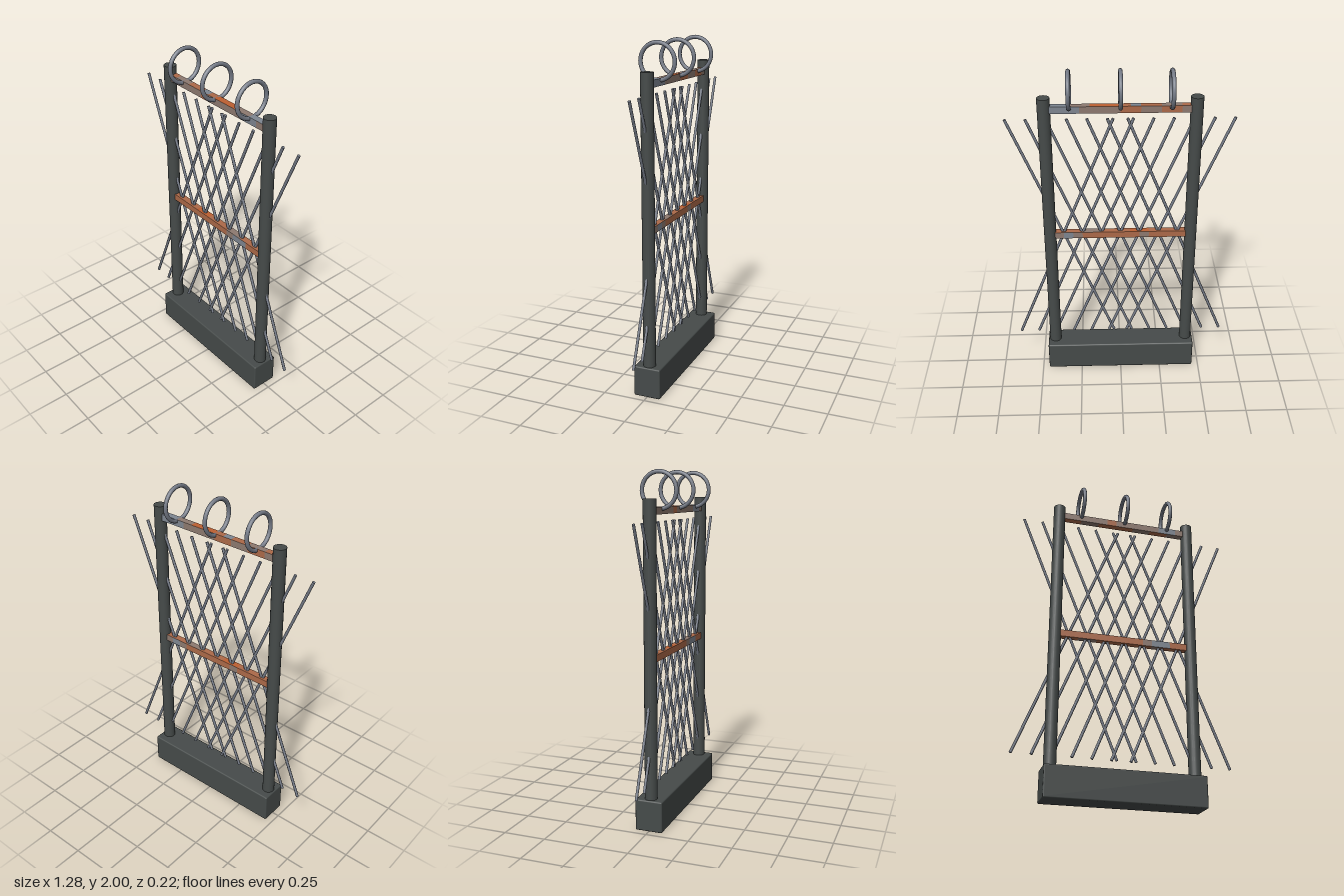
import * as THREE from 'three';
import { RoundedBoxGeometry } from 'three/addons/geometries/RoundedBoxGeometry.js';

const material = (name, color) => {
  const m = new THREE.MeshStandardMaterial({ color });
  m.name = name;
  return m;
};

export function createModel() {
  const group = new THREE.Group();
  const frame = material('dark iron', 0x464b4a);
  const steel = material('steel', 0x757b87);
  const tones = {
    R: material('rust', 0xad6a49),
    B: material('bright rust', 0xbd6032),
    M: material('rusty steel', 0x8e7a70),
    G: material('bare steel', 0x7f8792),
  };

  const add = (name, geometry, mat, x = 0, y = 0, z = 0, parent = group) => {
    const mesh = new THREE.Mesh(geometry, mat);
    mesh.name = name;
    mesh.position.set(x, y, z);
    parent.add(mesh);
    return mesh;
  };

  // Plinth with slightly softened edges
  add('base', new RoundedBoxGeometry(0.92, 0.182, 0.16, 2, 0.008), frame, 0, 0.093);

  // Round side posts
  const postGeometry = new THREE.CylinderGeometry(0.036, 0.036, 1.68, 20);
  for (const side of [-1, 1]) {
    add(side > 0 ? 'leftPost' : 'rightPost', postGeometry, frame, side * 0.415, 1.005);
  }

  // Square crossbars, patched with rust along each face
  function crossbar(name, y, faces) {
    const bar = new THREE.Group();
    bar.name = name;
    bar.position.y = y;
    group.add(bar);
    const count = faces.top.length, step = 0.78 / count;
    const geometry = new THREE.BoxGeometry(step, 0.04, 0.04);
    for (let i = 0; i < count; i++) {
      const [top, bottom, front, back] =
        ['top', 'bottom', 'front', 'back'].map((f) => tones[faces[f][i]]);
      add(name + 'Section', geometry, [front, front, top, bottom, front, back],
        -0.39 + (i + 0.5) * step, 0, 0, bar);
    }
  }
  crossbar('topBar', 1.78, {
    top: 'RMMRRGRBBBMMGG',
    bottom: 'RRMMRRRRMMRRMM',
    front: 'MMMMMRMMMMMGGM',
    back: 'MRRMMRRMMMMGGG',
  });
  crossbar('middleBar', 0.98, {
    top: 'RRRRBBRRRMMRRR',
    bottom: 'RRMMRRRRRRMRRR',
    front: 'RRRRRRRRRMGGRR',
    back: 'RRRRMRRRRRRMGM',
  });

  // Two mirrored sets of slanted rods forming the lattice
  const halfRun = 0.295, height = 1.47;
  const rodGeometry = new THREE.CylinderGeometry(0.0085, 0.0085, Math.hypot(2 * halfRun, height), 8);
  const tilt = Math.atan2(2 * halfRun, height);
  for (const side of [-1, 1]) {
    for (let i = -3; i <= 3; i++) {
      add('latticeRod', rodGeometry, steel, i * 0.1117, 0.985).rotation.z = side * tilt;
    }
  }

  // Rings standing on the top bar
  const ringGeometry = new THREE.TorusGeometry(0.1, 0.012, 10, 36);
  for (const x of [-0.278, 0, 0.278]) {
    add('ring', ringGeometry, steel, x, 1.888).rotation.y = Math.PI / 2;
  }

  return group;
}
